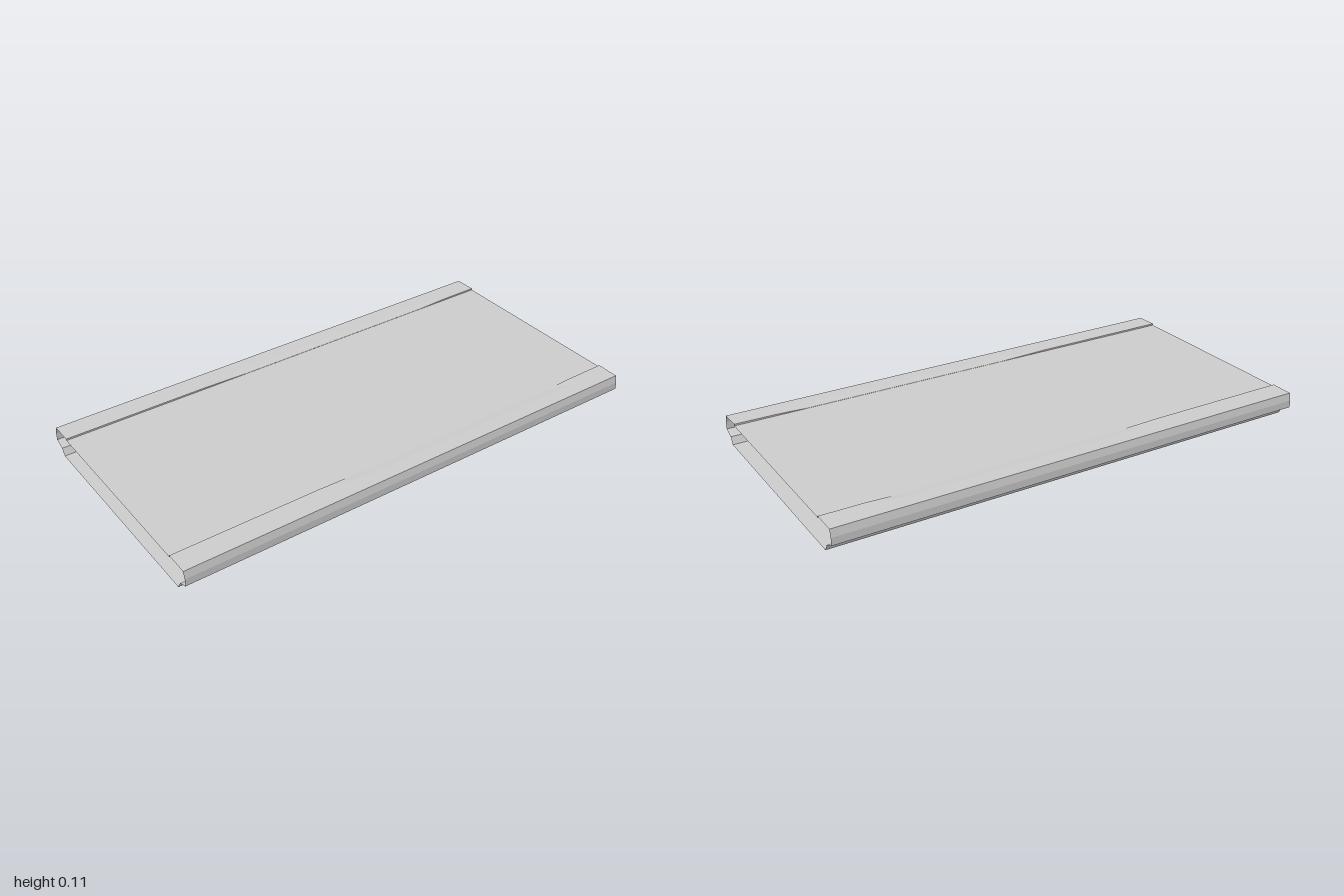
import * as THREE from 'three';

const material = new THREE.MeshStandardMaterial({
  color: 0xcccccc, flatShading: true, side: THREE.DoubleSide,
});

// Lengthwise stations: z and height of the lip's inner edge (lowered mid-way)
const stations = [
  [-1, 0.107], [-0.83, 0.106], [-0.7, 0.101], [0.2, 0.101], [0.4, 0.106], [1, 0.107],
];

// Loft an open strip along z; section(lipY) gives its [x, y] points
function strip(name, section, rows = stations) {
  const positions = [];
  for (let s = 0; s < rows.length - 1; s++) {
    const [z0, lip0] = rows[s], [z1, lip1] = rows[s + 1];
    const p = section(lip0), q = section(lip1);
    for (let i = 0; i < p.length - 1; i++) {
      const a = [...p[i], z0], b = [...p[i + 1], z0];
      const c = [...q[i + 1], z1], d = [...q[i], z1];
      positions.push(...a, ...b, ...c, ...a, ...c, ...d);
    }
  }
  const geometry = new THREE.BufferGeometry();
  geometry.setAttribute('position', new THREE.Float32BufferAttribute(positions, 3));
  geometry.computeVertexNormals();
  const mesh = new THREE.Mesh(geometry, material);
  mesh.name = name;
  return mesh;
}

// Side rail section: lower flank, undercut, outer face, chamfer, top lip, small step
const rail = (lipY) => [
  [0.445, 0], [0.46, 0.028], [0.5, 0.045], [0.5, 0.075],
  [0.493, 0.105], [0.435, 0.106], [0.4, lipY], [0.4, 0.1],
];
const mirroredRail = (lipY) => rail(lipY).reverse().map(([x, y]) => [-x, y]);

export function createModel() {
  const group = new THREE.Group();
  group.name = 'hollowPanel';
  const ends = [[-1, 0], [1, 0]];

  // Flat plates, open at both ends
  group.add(strip('bottomPlate', () => [[-0.445, 0], [0.445, 0]], ends));
  group.add(strip('topDeck', () => [[0.4, 0.1], [-0.4, 0.1]], ends));

  // Profiled long edges
  group.add(strip('leftRail', rail));
  group.add(strip('rightRail', mirroredRail));
  return group;
}
